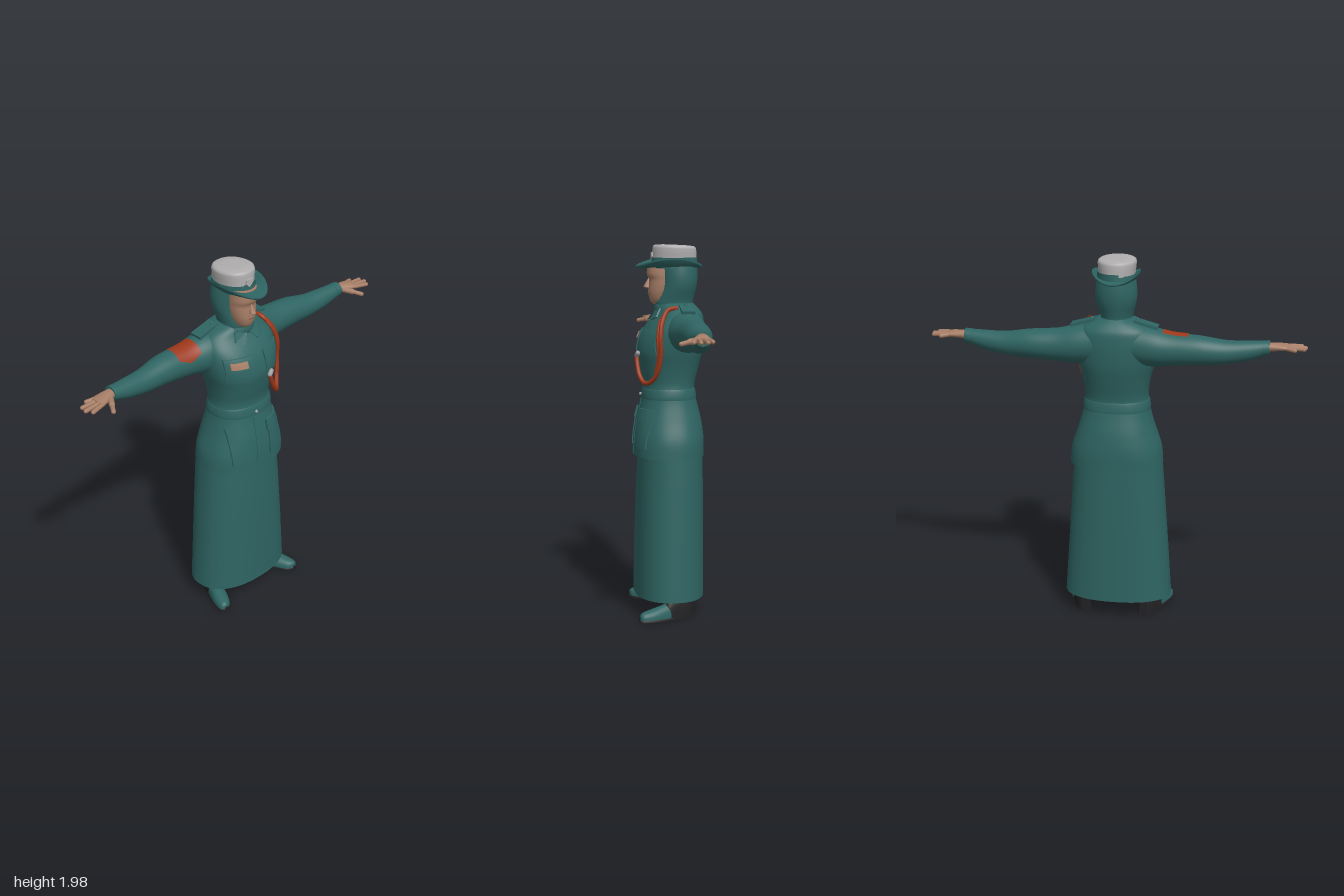
import * as THREE from 'three';

const mat = (name, color, side = THREE.FrontSide) => {
  const m = new THREE.MeshStandardMaterial({ color, side });
  m.name = name;
  return m;
};

// Smooth interpolation between the rows of a profile
function densify(rows, steps = 5) {
  const out = [], n = rows.length;
  for (let i = 0; i < n - 1; i++) {
    const [a, b, c, d] = [rows[Math.max(i - 1, 0)], rows[i], rows[i + 1], rows[Math.min(i + 2, n - 1)]];
    for (let s = 0; s < steps; s++) {
      const t = s / steps;
      out.push(b.map((v, k) => v + 0.5 * t * (c[k] - a[k] + t * (2 * a[k] - 5 * v + 4 * c[k] - d[k] + t * (3 * (v - c[k]) + d[k] - a[k])))));
    }
  }
  out.push(rows[n - 1]);
  return out;
}

// Skin over cross-sections; point(row, angle) places each vertex
function loft(rows, point, { seg = 40, a0 = 0, a1 = Math.PI * 2, caps = true } = {}) {
  const closed = a1 - a0 > 6.28, cols = closed ? seg : seg + 1;
  const pos = [], idx = [];
  rows.forEach(r => {
    for (let j = 0; j < cols; j++) pos.push(...point(r, a0 + (a1 - a0) * j / seg));
  });
  for (let i = 0; i < rows.length - 1; i++) for (let j = 0; j < seg; j++) {
    const k = (j + 1) % cols, p = i * cols, q = p + cols;
    idx.push(p + j, q + j, p + k, q + j, q + k, p + k);
  }
  if (closed && caps) [0, rows.length - 1].forEach((i, end) => {
    const base = pos.length / 3, ring = pos.slice(i * cols * 3, (i + 1) * cols * 3), mid = [0, 0, 0];
    ring.forEach((v, k) => { mid[k % 3] += v / cols; });
    pos.push(...ring, ...mid);
    for (let j = 0; j < cols; j++) {
      const k = (j + 1) % cols;
      idx.push(base + cols, base + (end ? k : j), base + (end ? j : k));
    }
  });
  const g = new THREE.BufferGeometry();
  g.setAttribute('position', new THREE.Float32BufferAttribute(pos, 3));
  g.setIndex(idx);
  g.computeVertexNormals();
  return g;
}

// Upright section: [y, half width, front z, back z]
const N = 2.3;
const pow = (v, n) => Math.sign(v) * Math.abs(v) ** (2 / n);
const upright = n => ([y, rx, zf, zb], a) =>
  [rx * pow(Math.cos(a), n), y, (zf + zb) / 2 + (zf - zb) / 2 * pow(Math.sin(a), n)];
// Sideways section: [x, centre y, centre z, half height, half depth]
const sideways = grow => ([x, cy, cz, ry, rz], a) =>
  [x, cy + (ry + grow) * Math.sin(a), cz + (rz + grow) * Math.cos(a)];
const mirrorRows = (rows, s) => s > 0 ? rows : rows.map(r => [-r[0], ...r.slice(1)]).reverse();

const JACKET = densify([
  [0.86, 0.25, 0.19, -0.185], [0.95, 0.242, 0.186, -0.185], [1.05, 0.21, 0.173, -0.172],
  [1.14, 0.184, 0.152, -0.15], [1.21, 0.172, 0.139, -0.136], [1.26, 0.169, 0.138, -0.14],
  [1.34, 0.182, 0.156, -0.16], [1.42, 0.203, 0.168, -0.178], [1.5, 0.215, 0.15, -0.185],
  [1.56, 0.215, 0.115, -0.185], [1.61, 0.195, 0.072, -0.178], [1.645, 0.15, 0.056, -0.155], [1.67, 0.088, 0.045, -0.13]]);
const ARM = densify([
  [0.1, 1.535, -0.065, 0.112, 0.108], [0.2, 1.525, -0.072, 0.105, 0.104], [0.3, 1.518, -0.082, 0.088, 0.086],
  [0.45, 1.518, -0.086, 0.077, 0.077], [0.58, 1.512, -0.076, 0.063, 0.062],
  [0.7, 1.522, -0.066, 0.052, 0.05], [0.8, 1.54, -0.058, 0.036, 0.039]]);

// Front depth of the jacket at a given x and y
function jacketZ(x, y) {
  let i = 0;
  while (i < JACKET.length - 2 && JACKET[i + 1][0] < y) i++;
  const t = (y - JACKET[i][0]) / (JACKET[i + 1][0] - JACKET[i][0]);
  const [, rx, zf, zb] = JACKET[i].map((v, k) => v + t * (JACKET[i + 1][k] - v));
  const u = Math.min(1, Math.abs(x) / rx);
  return (zf + zb) / 2 + (zf - zb) / 2 * (1 - u ** N) ** (1 / N);
}
function drape(g, lift = 0) {
  const p = g.attributes.position;
  for (let i = 0; i < p.count; i++) p.setZ(i, p.getZ(i) + lift + jacketZ(p.getX(i), p.getY(i)));
  g.computeVertexNormals();
  return g;
}
const panel = (x, y, w, h, t, lift) => drape(new THREE.BoxGeometry(w, h, t, 8, 8, 1).translate(x, y, 0), lift);

export function createModel() {
  const root = new THREE.Group();
  root.name = 'uniformedWoman';
  const cloth = mat('tealCloth', 0x2e6462, THREE.DoubleSide);
  const skin = mat('skin', 0xa67d66), shade = mat('skinShade', 0x8c6855);
  const black = mat('blackLeather', 0x222224), white = mat('hatGrey', 0xb0aeae);
  const red = mat('rustRed', 0x9c381b, THREE.DoubleSide), silver = mat('silver', 0x9a9c9e);
  const add = (name, g, m, x = 0, y = 0, z = 0) => {
    const mesh = new THREE.Mesh(g, m);
    mesh.name = name;
    mesh.position.set(x, y, z);
    root.add(mesh);
    return mesh;
  };
  const rod = (name, m, a, b, r) => {
    const A = new THREE.Vector3(...a), B = new THREE.Vector3(...b), d = B.clone().sub(A);
    const mesh = add(name, new THREE.CapsuleGeometry(r, d.length(), 5, 10), m);
    mesh.position.copy(A).add(B).multiplyScalar(0.5);
    mesh.quaternion.setFromUnitVectors(new THREE.Vector3(0, 1, 0), d.normalize());
  };

  // Skirt, jacket and belt
  add('skirt', loft([[0.1, 0.293, 0.188, -0.185], [0.4, 0.273, 0.183, -0.184], [0.7, 0.252, 0.173, -0.183], [0.9, 0.238, 0.16, -0.178]], upright(N), { seg: 64 }), cloth, -0.009);
  add('jacket', loft(JACKET, upright(N), { seg: 64 }), cloth);
  add('belt', loft([[1.165, 0.179, 0.147, -0.144], [1.18, 0.181, 0.148, -0.145], [1.212, 0.176, 0.143, -0.14], [1.222, 0.17, 0.138, -0.136]], upright(N), { seg: 64 }), cloth);
  add('frontPlacket', panel(-0.012, 1.01, 0.045, 0.296, 0.006, 0), cloth);
  add('beltButton', new THREE.SphereGeometry(0.009, 12, 8), silver, -0.01, 1.185, 0.15);
  add('nameTag', panel(-0.12, 1.498, 0.085, 0.034, 0.008, 0.012), skin);

  for (const s of [1, -1]) {
    // Pockets, collar points and shoulder straps
    add('chestPocket', panel(s * 0.112, 1.455, 0.135, 0.1, 0.01, 0), cloth);
    add('chestPocketFlap', panel(s * 0.112, 1.508, 0.142, 0.05, 0.01, 0.004), cloth);
    add('hipPocket', panel(s * 0.118, 0.99, 0.12, 0.16, 0.014, 0.001), cloth);
    add('hipPocketFlap', panel(s * 0.112, 1.085, 0.13, 0.06, 0.014, 0.006), cloth);
    const point = new THREE.Shape([[0.004, 1.635], [0.075, 1.645], [0.095, 1.6], [0.05, 1.582]]
      .map(([x, y]) => new THREE.Vector2(s * x, y)));
    add('collarPoint', drape(new THREE.ExtrudeGeometry(point, { depth: 0.01, bevelEnabled: false }), 0.003), cloth);
    const strap = add('shoulderStrap', new THREE.BoxGeometry(0.13, 0.016, 0.07), cloth, s * 0.165, 1.645, -0.075);
    strap.rotation.z = -s * 0.26;
    add('strapButton', new THREE.SphereGeometry(0.009, 10, 8), cloth, s * 0.12, 1.665, -0.075);

    // Sleeve and cuff
    add('sleeve', loft(mirrorRows(ARM, s), sideways(0)), cloth);
    add('cuff', loft(mirrorRows([[0.77, 1.535, -0.06, 0.041, 0.044], [0.805, 1.54, -0.058, 0.038, 0.041]], s), sideways(0)), cloth);

    // Hand
    add('palm', loft(mirrorRows(densify([[0.78, 1.542, -0.056, 0.024, 0.028], [0.83, 1.543, -0.05, 0.022, 0.034],
      [0.88, 1.542, -0.04, 0.018, 0.045], [0.91, 1.54, -0.037, 0.012, 0.042]]), s), sideways(0), { seg: 20 }), skin);
    [[-0.07, 0.935, -0.083], [-0.048, 0.982, -0.053], [-0.024, 0.988, -0.018], [-0.004, 0.968, 0.014]].forEach(([z0, x1, z1]) =>
      rod('finger', skin, [s * 0.89, 1.541, z0], [s * x1, 1.535, z1], 0.0115));
    rod('thumb', skin, [s * 0.825, 1.537, -0.035], [s * 0.855, 1.53, 0.015], 0.016);
    rod('thumbTip', skin, [s * 0.855, 1.53, 0.015], [s * 0.882, 1.522, 0.06], 0.012);

    // Shoe, toed out: [z, half width, height, base height]
    const shoe = ([z, w, h, y0 = 0], a) =>
      [s * (0.2 + 0.36 * z) + w * Math.cos(a), Math.max(y0, y0 + (h - y0) * pow(Math.sin(a), 2.6)), z];
    add('shoeUpper', loft(densify([[0.186, 0.014, 0.038, 0.012], [0.168, 0.036, 0.05, 0.012], [0.11, 0.048, 0.064, 0.012],
      [0.05, 0.046, 0.08, 0.012], [0.01, 0.042, 0.09, 0.012]]), shoe, { seg: 28 }), cloth);
    add('shoeSole', loft([[0.19, 0.016, 0.02], [0.17, 0.039, 0.022], [0.11, 0.051, 0.024],
      [0.04, 0.049, 0.026], [0, 0.044, 0.03]], shoe, { seg: 28 }), black);
    add('shoeHeel', loft(densify([[0.045, 0.036, 0.083], [0.02, 0.043, 0.115], [-0.03, 0.042, 0.14], [-0.08, 0.038, 0.14], [-0.105, 0.022, 0.12]]), shoe, { seg: 28 }), black);
  }

  // Arm badge wrapped over the right sleeve, pointed at its lower edge
  const badge = (r, a) => sideways(0.004)(r, a + (2 - a) * 0.22 * Math.abs(r[0] + 0.32) / 0.07);
  add('armBadge', loft(mirrorRows(ARM.filter(r => r[0] > 0.255 && r[0] < 0.395), -1), badge, { seg: 14, a0: 0.25, a1: 2 }), red);

  // Headscarf and face
  add('headscarf', loft(densify([[1.58, 0.1, 0.06, -0.15], [1.64, 0.092, 0.064, -0.135], [1.67, 0.086, 0.075, -0.13],
    [1.705, 0.093, 0.068, -0.137], [1.76, 0.107, 0.052, -0.15], [1.82, 0.109, 0.052, -0.155], [1.9, 0.098, 0.06, -0.15]]), upright(2)), cloth, -0.004);
  add('scarfFold', loft(densify([[1.62, 0.1, 0.07, -0.14], [1.64, 0.102, 0.078, -0.145], [1.665, 0.088, 0.074, -0.132]]), upright(2)), cloth);
  add('face', loft(densify([[1.664, 0.03, 0.08, -0.04], [1.682, 0.05, 0.097, -0.04], [1.72, 0.064, 0.107, -0.04],
    [1.76, 0.071, 0.106, -0.04], [1.795, 0.073, 0.104, -0.04], [1.825, 0.074, 0.115, -0.04], [1.88, 0.071, 0.11, -0.04]]), upright(2.2)), skin, -0.008);
  const nose = add('nose', new THREE.ConeGeometry(0.017, 0.065, 12).scale(1, 1, 1.25), skin, -0.008, 1.785, 0.106);
  nose.rotation.x = -0.22;
  add('noseTip', new THREE.SphereGeometry(0.012, 12, 10), skin, -0.008, 1.759, 0.118);
  add('lips', new THREE.SphereGeometry(0.018, 16, 10).scale(1, 0.34, 0.25), shade, -0.008, 1.725, 0.106);
  for (const s of [1, -1])
    add('eye', new THREE.SphereGeometry(0.013, 12, 8).scale(1, 0.4, 0.3), shade, s * 0.03 - 0.008, 1.797, 0.094);

  // Hat: curled brim, band, pale crown and shield
  const brim = ([r, lift], a) => {
    const c = Math.cos(a), q = Math.sin(a);
    return [(0.095 + 0.03 * r) * c, 1.868 + lift + r * (0.042 * c * c - 0.006), -0.022 + (0.122 + r * (q > 0 ? 0.073 : 0.035)) * q];
  };
  add('hatBrim', loft([[-0.1, -0.01], [0.5, -0.012], [1, -0.006], [1.03, 0], [1, 0.007], [0.5, 0.006], [-0.1, 0.012]], brim, { seg: 56, caps: false }), cloth);
  add('hatBand', loft([[1.855, 0.1, 0.095, -0.155], [1.91, 0.097, 0.09, -0.152]], upright(2)), cloth);
  const tilt = (r, a) => {
    const p = upright(2.1)(r, a);
    return [p[0], p[1] + 0.04 * (p[2] + 0.03), p[2]];
  };
  add('hatCrown', loft([[1.9, 0.095, 0.087, -0.15], [1.93, 0.098, 0.086, -0.149], [1.957, 0.101, 0.085, -0.148], [1.968, 0.098, 0.081, -0.144],
    [1.974, 0.088, 0.071, -0.134], [1.977, 0.05, 0.03, -0.09]], tilt), white, -0.006);
  const shield = new THREE.Shape([[-0.02, 0.022], [0.02, 0.022], [0.022, 0], [0, -0.022], [-0.022, 0]].map(p => new THREE.Vector2(...p)));
  add('hatShield', new THREE.ExtrudeGeometry(shield, { depth: 0.008, bevelEnabled: false }), white, -0.008, 1.915, 0.085);

  // Braided cord looping from the left shoulder to the chest
  const cord = (name, pts, r) => add(name, new THREE.TubeGeometry(
    new THREE.CatmullRomCurve3(pts.map(p => new THREE.Vector3(...p))), 60, r, 8), red);
  cord('cord', [[0.14, 1.65, -0.03], [0.152, 1.64, 0.022], [0.19, 1.58, 0.058], [0.215, 1.5, 0.07], [0.215, 1.41, 0.07], [0.2, 1.32, 0.085],
    [0.17, 1.268, 0.115], [0.14, 1.257, 0.145], [0.1, 1.295, 0.168], [0.065, 1.37, 0.178], [0.058, 1.395, 0.178]], 0.012);
  cord('innerCord', [[0.15, 1.645, 0.01], [0.172, 1.59, 0.066], [0.198, 1.5, 0.085], [0.203, 1.4, 0.082], [0.19, 1.32, 0.095]], 0.007);
  rod('whistle', silver, [0.058, 1.395, 0.178], [0.072, 1.41, 0.174], 0.013);
  return root;
}
